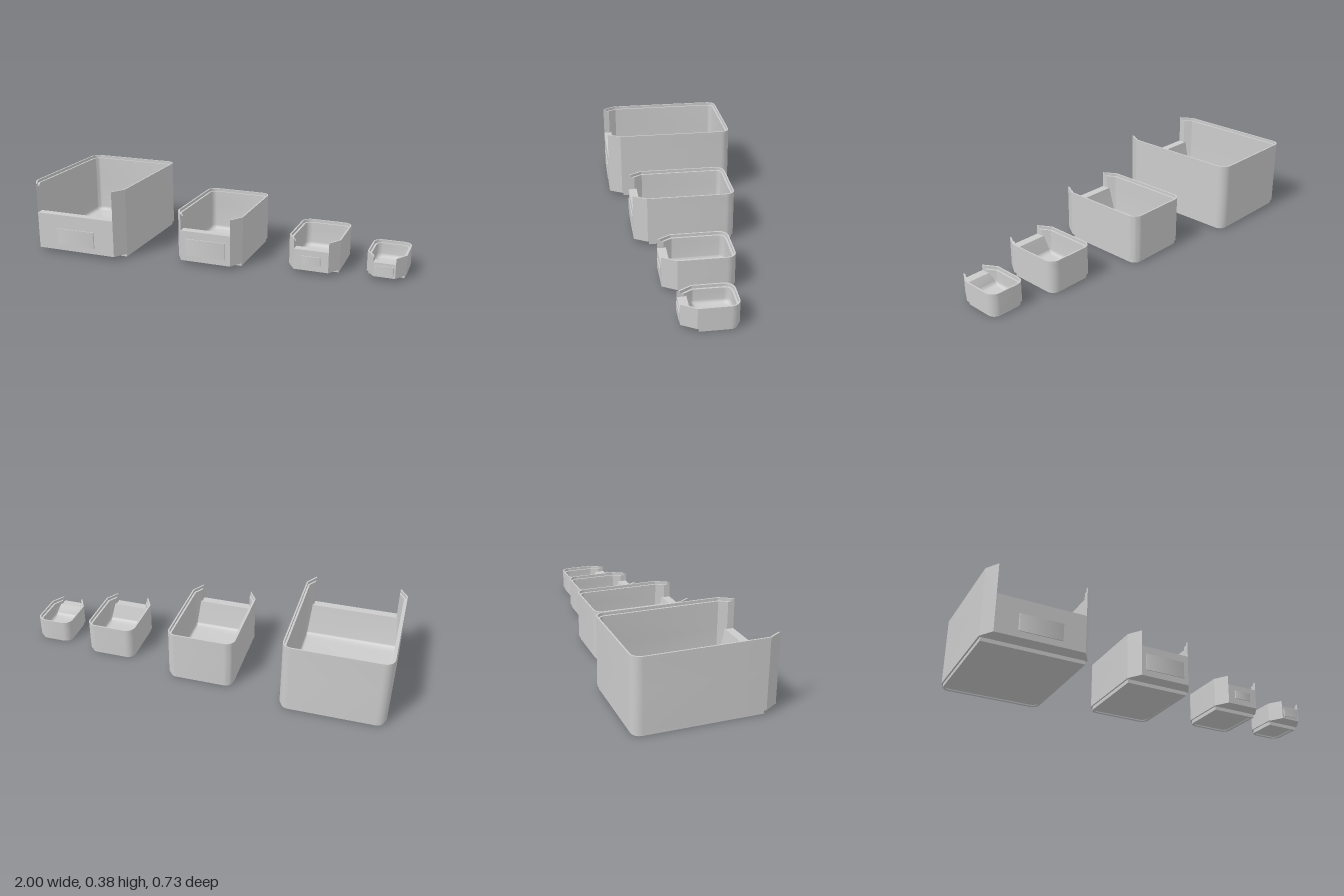
import * as THREE from 'three';
import { toCreasedNormals } from 'three/addons/utils/BufferGeometryUtils.js';

const material = new THREE.MeshStandardMaterial({ color: 0xcccccc });
const CHAMFER_X = 0.044, CHAMFER_Z = 0.072, CORNER = 0.05;
const WALL = 0.018, LIP = 0.008, LIP_DROP = 0.015;
const BASE = 0.02, FLOOR = 0.032;

// Plan outline of a bin, inset by i, with its front edge at z = zf.
// Starts at the +x front corner and runs over the front, then round the back.
function outline({ hw, front, back }, i, zf) {
  const c = CHAMFER_X, d = CHAMFER_Z, L = Math.hypot(c, d);
  const w = hw - i, r = Math.max(CORNER - i, 0.008);
  const zc = Math.min(front - d + i * (d - L) / c, zf - 0.001);
  const xf = Math.min(hw - (i * L + c * (zf - front + d)) / d, w - 0.001);
  const pts = [[w, zc], [xf, zf], [-xf, zf], [-w, zc]];
  const n = 8;
  for (const [sx, start] of [[-1, Math.PI], [1, Math.PI * 1.5]]) {
    for (let k = 0; k <= n; k++) {
      const a = start + (k / n) * Math.PI / 2;
      pts.push([sx * (w - r) + r * Math.cos(a), back + i + r + r * Math.sin(a)]);
    }
  }
  return pts;
}

// Skin through rings of equal point count
function loft(rings) {
  const pos = [], index = [], n = rings[0].pts.length;
  for (const { pts, y } of rings) for (const [x, z] of pts) pos.push(x, y, z);
  for (let k = 0; k < rings.length - 1; k++) {
    for (let j = 0; j < n; j++) {
      const a = k * n + j, b = k * n + (j + 1) % n;
      index.push(a, a + n, b, b, a + n, b + n);
    }
  }
  const g = new THREE.BufferGeometry();
  g.setAttribute('position', new THREE.Float32BufferAttribute(pos, 3));
  g.setIndex(index);
  return toCreasedNormals(g, 0.5);
}

// Upright prism on a plan of [x, z] points
function prism(pts, y0, y1, hole) {
  const toV = ([x, z]) => new THREE.Vector2(x, -z);
  const shape = new THREE.Shape(pts.map(toV));
  if (hole) shape.holes.push(new THREE.Path(hole.map(toV)));
  const g = new THREE.ExtrudeGeometry(shape, { depth: y1 - y0, bevelEnabled: false });
  g.rotateX(-Math.PI / 2).translate(0, y0, 0);
  return toCreasedNormals(g, 0.5);
}

// Lower tub: full outside, sloped inner front, filleted floor
function tubGeometry(bin) {
  const { front, back, sill } = bin;
  const mid = (front + back) / 2;
  const count = outline(bin, 0, front).length;
  const centre = Array.from({ length: count }, () => [0, mid]);
  const outer = outline(bin, 0, front);
  const rings = [
    { pts: centre, y: BASE }, { pts: outer, y: BASE }, { pts: outer, y: sill },
    { pts: outline(bin, WALL, front - 0.045), y: sill },
  ];
  const r = 0.022, n = 6;
  for (let k = 0; k <= n; k++) {
    const a = (k / n) * Math.PI / 2, s = 1 - Math.cos(a);
    rings.push({
      pts: outline(bin, WALL + r * s, front - 0.068 - 0.045 * s),
      y: FLOOR + r * (1 - Math.sin(a)),
    });
  }
  rings.push({ pts: centre, y: FLOOR });
  return loft(rings);
}

// Wall round the sides and back, open across the front
function openWall(bin, t, y0, y1) {
  const drop = t * Math.hypot(CHAMFER_X, CHAMFER_Z) / CHAMFER_X;
  const run = (i, zf) => {
    const p = outline(bin, i, zf);
    return [...p.slice(2), p[0], p[1]];
  };
  return prism([...run(0, bin.front), ...run(t, bin.front - drop).reverse()], y0, y1);
}

// Foot plan: square front corners, rounded back corners
function footPlan({ hw, front, back }, i) {
  const p = outline({ hw, front, back }, i, front);
  const w = hw - i, zf = front - 0.072 - i;
  return [[w, zf], [-w, zf], ...p.slice(4)];
}

// Label plate with rounded ends
function labelGeometry({ front, labelW, labelY }) {
  const r = 0.005, h = labelW / 2, pts = [[h, front - 0.003]];
  for (let k = 0; k <= 10; k++) {
    const a = (k / 10) * Math.PI;
    const side = k < 5 ? 1 : -1;
    if (k === 5) pts.push([h - r, front + r]);
    pts.push([side * (h - r) + r * Math.cos(a), front + r * Math.sin(a)]);
  }
  pts.push([-h, front - 0.003]);
  return prism(pts, labelY[0], labelY[1]);
}

function createBin(bin) {
  const group = new THREE.Group();
  const add = (name, geometry) => {
    const mesh = new THREE.Mesh(geometry, material);
    mesh.name = name;
    group.add(mesh);
  };
  add('tub', tubGeometry(bin));
  add('upperWall', openWall(bin, WALL, bin.sill, bin.height - LIP_DROP));
  add('rimLip', openWall(bin, LIP, bin.height - LIP_DROP, bin.height));
  add('footRim', prism(footPlan(bin, 0.008), 0, BASE, footPlan(bin, 0.024)));
  add('footPanel', prism(footPlan(bin, 0.02), 0.008, BASE));
  add('labelPlate', labelGeometry(bin));
  group.position.x = bin.x;
  return group;
}

export function createModel() {
  const model = new THREE.Group();
  model.name = 'storageBins';
  const bins = [
    { name: 'largeBin', x: -0.7275, hw: 0.2725, front: 0.358, back: -0.363, height: 0.38, sill: 0.22, labelW: 0.224, labelY: [0.053, 0.143] },
    { name: 'mediumBin', x: -0.009, hw: 0.182, front: 0.269, back: -0.272, height: 0.272, sill: 0.185, labelW: 0.224, labelY: [0.053, 0.143] },
    { name: 'smallBin', x: 0.535, hw: 0.135, front: 0.179, back: -0.182, height: 0.18, sill: 0.13, labelW: 0.1, labelY: [0.053, 0.098] },
    { name: 'tinyBin', x: 0.9, hw: 0.1, front: 0.135, back: -0.137, height: 0.126, sill: 0.095, labelW: 0.095, labelY: [0.035, 0.08] },
  ];
  for (const bin of bins) {
    const group = createBin(bin);
    group.name = bin.name;
    model.add(group);
  }
  return model;
}
